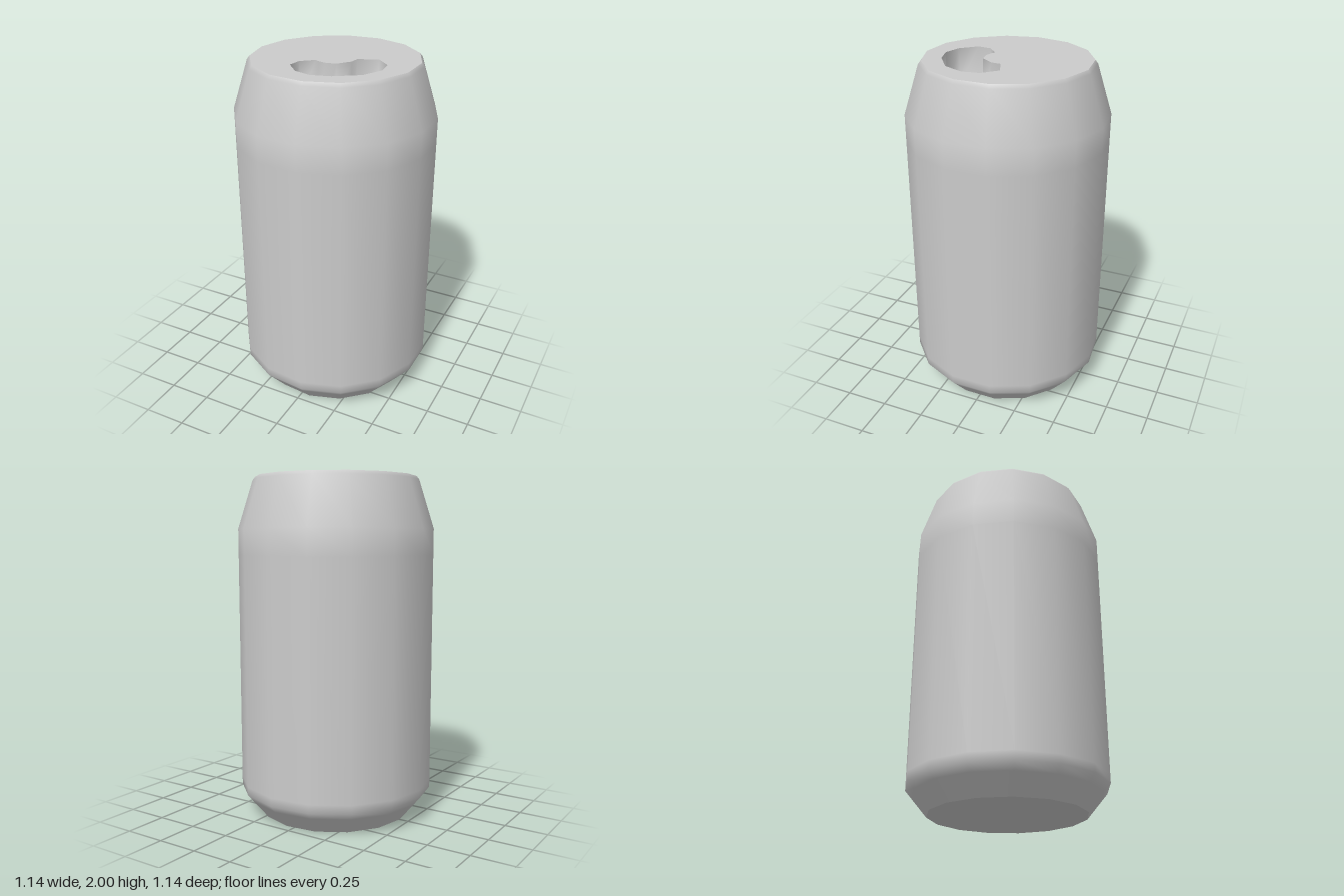
import * as THREE from 'three';

const SIDES = 15;
const CENTRE_X = 0.006;
const HEIGHT = 2;
const LID_RADIUS = 0.472;

// Bean-shaped drinking hole as [x, z], clockwise seen from above
const HOLE = [
  [0.13, -0.01], [0.24, -0.055], [0.32, 0.02], [0.335, 0.12], [0.28, 0.24],
  [0.15, 0.33], [0.04, 0.36], [-0.06, 0.33], [-0.14, 0.245], [-0.13, 0.165],
  [-0.06, 0.105], [-0.035, 0.12], [0.01, 0.13], [0.07, 0.12], [0.125, 0.045],
];

const toShapePoints = (ring) => ring.map(([x, z]) => new THREE.Vector2(x, -z));

// Regular ring with one corner pointing to -x
function discPoints(radius) {
  return Array.from({ length: SIDES }, (_, i) => {
    const a = Math.PI + (i * 2 * Math.PI) / SIDES;
    return new THREE.Vector2(CENTRE_X + radius * Math.cos(a), radius * Math.sin(a));
  });
}

// Smooth pocket: slightly tapered walls sharing their vertices with the floor
function pocketGeometry(depth) {
  const n = HOLE.length;
  const floor = HOLE.map(([x, z]) => [0.1 + (x - 0.1) * 0.96, 0.15 + (z - 0.15) * 0.96]);
  const positions = [
    ...HOLE.flatMap(([x, z]) => [x, HEIGHT, z]),
    ...floor.flatMap(([x, z]) => [x, HEIGHT - depth, z]),
  ];
  const index = [];
  for (let i = 0; i < n; i++) {
    const j = (i + 1) % n;
    index.push(i, n + i, j, j, n + i, n + j);
  }
  for (const face of THREE.ShapeUtils.triangulateShape(toShapePoints(floor), [])) {
    index.push(...face.map((v) => v + n));
  }
  const geometry = new THREE.BufferGeometry();
  geometry.setAttribute('position', new THREE.Float32BufferAttribute(positions, 3));
  geometry.setIndex(index);
  geometry.computeVertexNormals();
  return geometry;
}

export function createModel() {
  const group = new THREE.Group();
  group.name = 'drinkCan';
  const material = new THREE.MeshStandardMaterial({ color: 0xcccccc });
  const inside = new THREE.MeshStandardMaterial({ color: 0xcccccc, side: THREE.DoubleSide });

  const add = (name, geometry, mat = material) => {
    const mesh = new THREE.Mesh(geometry, mat);
    mesh.name = name;
    group.add(mesh);
    return mesh;
  };

  // Body: chamfered foot, straight wall, tapered shoulder and thin rim
  const profile = [
    [0.45, 0], [0.54, 0.108], [0.575, 0.15], [0.575, 0.2], [0.575, 1.55],
    [0.575, 1.7], [0.487, 1.98], [LID_RADIUS, HEIGHT],
  ].map(([r, y]) => new THREE.Vector2(r, y));
  add('body', new THREE.LatheGeometry(profile, SIDES, -Math.PI / 2)).position.x = CENTRE_X;

  // Flat lid with the drinking hole cut through
  const lid = new THREE.Shape(discPoints(LID_RADIUS));
  lid.holes.push(new THREE.Path(toShapePoints(HOLE)));
  add('lid', new THREE.ShapeGeometry(lid).rotateX(-Math.PI / 2).translate(0, HEIGHT, 0));

  // Recess below the hole
  add('drinkingHole', pocketGeometry(0.2), inside);

  // Flat base facing down
  add('base', new THREE.ShapeGeometry(new THREE.Shape(discPoints(0.45))).rotateX(Math.PI / 2));

  return group;
}
